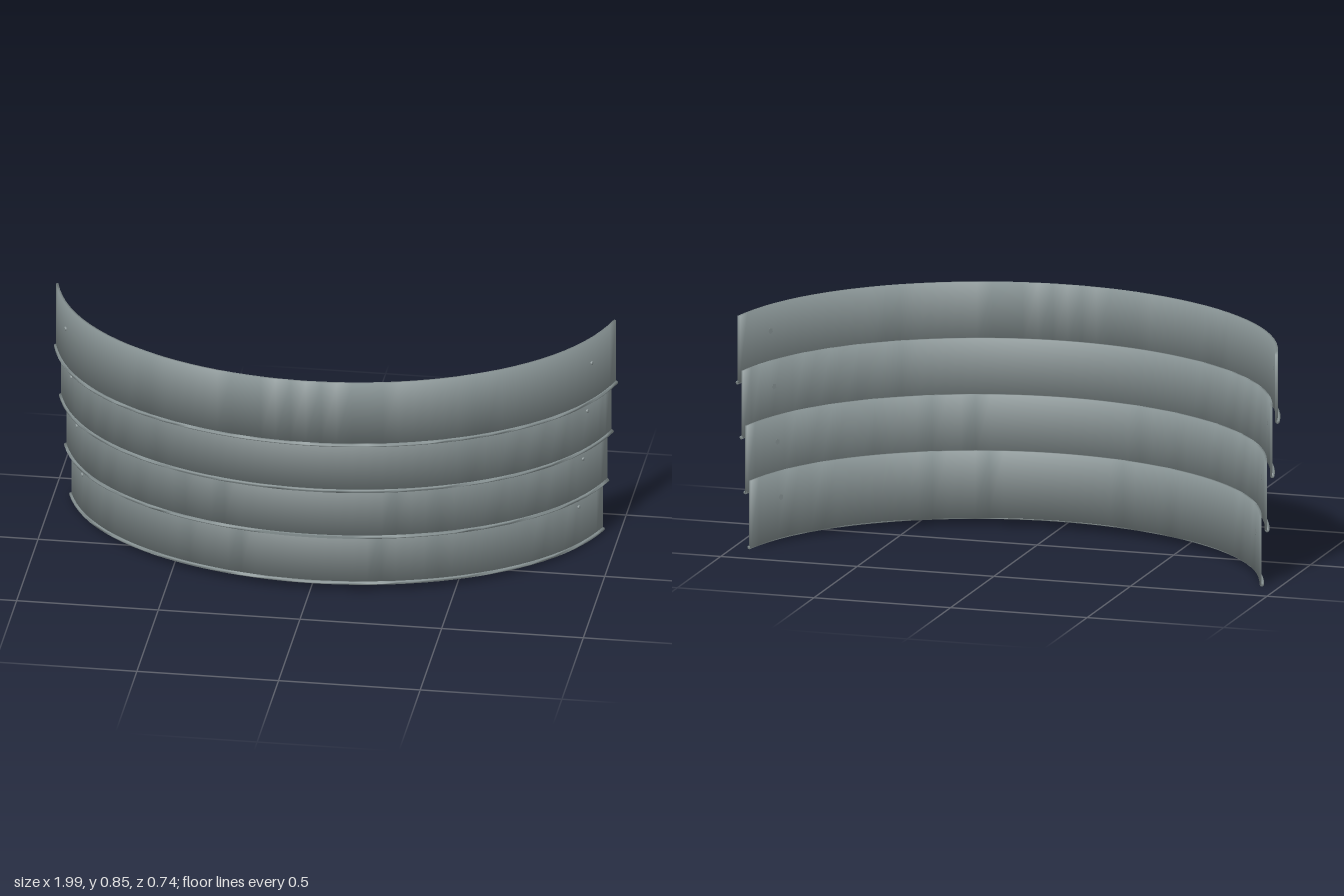
import * as THREE from 'three';
import { toCreasedNormals } from 'three/addons/utils/BufferGeometryUtils.js';

const STEPS = 48;

// Each band follows a circular arc in plan, fuller towards its two ends.
function makeArc(frontZ, endX, endZ) {
  const sag = frontZ - endZ;
  const R = (endX * endX + sag * sag) / (2 * sag);
  const cz = frontZ - R;
  const half = Math.atan2(endX, endZ - cz);
  // a: angle from the front, d: offset outward, y: height at the front
  const point = (a, d, y) => {
    const r = R + d + 0.022 * Math.sin(Math.PI * (a / half) ** 2);
    const z = cz + Math.cos(a) * r;
    return new THREE.Vector3(Math.sin(a) * r, y - 0.025 * (frontZ - z) / sag, z);
  };
  return { R, cz, half, point };
}

// Sweep a closed counter-clockwise section of [outward, height] points along an arc.
function sweep(arc, section) {
  const n = section.length, pos = [], idx = [];
  for (let i = 0; i <= STEPS; i++) {
    const a = arc.half * (2 * i / STEPS - 1);
    for (const [d, y] of section) pos.push(...arc.point(a, d, y).toArray());
  }
  for (let i = 0; i < STEPS; i++) {
    for (let j = 0; j < n; j++) {
      const k = (j + 1) % n;
      const p = i * n + j, q = (i + 1) * n + j, r = (i + 1) * n + k, s = i * n + k;
      idx.push(p, q, r, p, r, s);
    }
  }
  // End caps
  const contour = section.map(([d, y]) => new THREE.Vector2(d, y));
  const last = STEPS * n;
  for (const [a, b, c] of THREE.ShapeUtils.triangulateShape(contour, [])) {
    idx.push(a, b, c, last + a, last + c, last + b);
  }
  const geo = new THREE.BufferGeometry();
  geo.setAttribute('position', new THREE.Float32BufferAttribute(pos, 3));
  geo.setIndex(idx);
  // The wide angle smooths over the plate's edges, so each band shades as if rounded
  return toCreasedNormals(geo, 1.75);
}

export function createModel() {
  const model = new THREE.Group();
  const material = new THREE.MeshStandardMaterial({ color: 0x848f90, side: THREE.DoubleSide });
  const add = (parent, geo, name) => {
    const mesh = new THREE.Mesh(geo, material);
    mesh.name = name;
    parent.add(mesh);
    return mesh;
  };

  // Four overlapping bands, each one wider and further forward than the one below
  for (let i = 0; i < 4; i++) {
    const t = i / 3;
    const band = new THREE.Group();
    band.name = 'band' + (i + 1);
    model.add(band);
    const arc = makeArc(0.257 + 0.103 * t, 0.938 + 0.05 * t, -0.367 + 0.023 * t);
    const y0 = 0.031 + 0.194 * i, y1 = y0 + 0.24;

    // Thin plate
    add(band, sweep(arc, [[0, y0], [0, y1], [-0.008, y1], [-0.008, y0]]), 'plate');

    // Rounded rim along the lower edge
    const rim = [];
    for (let k = 0; k < 8; k++) {
      const a = k * Math.PI / 4;
      rim.push([0.001 + 0.0075 * Math.cos(a), y0 + 0.0065 * Math.sin(a)]);
    }
    add(band, sweep(arc, rim), 'lowerRim');

    // Small rivet near each end
    const rivetZ = -0.213 + 0.043 * t;
    const angle = Math.acos((rivetZ - arc.cz) / (arc.R + 0.015));
    for (const s of [-1, 1]) {
      const rivet = add(band, new THREE.CylinderGeometry(0.006, 0.011, 0.014, 5), s > 0 ? 'leftRivet' : 'rightRivet');
      rivet.position.copy(arc.point(s * angle, -0.002, y0 + 0.146));
      rivet.quaternion.setFromUnitVectors(
        new THREE.Vector3(0, 1, 0), new THREE.Vector3(Math.sin(s * angle), 0, Math.cos(angle)));
    }
  }
  return model;
}
